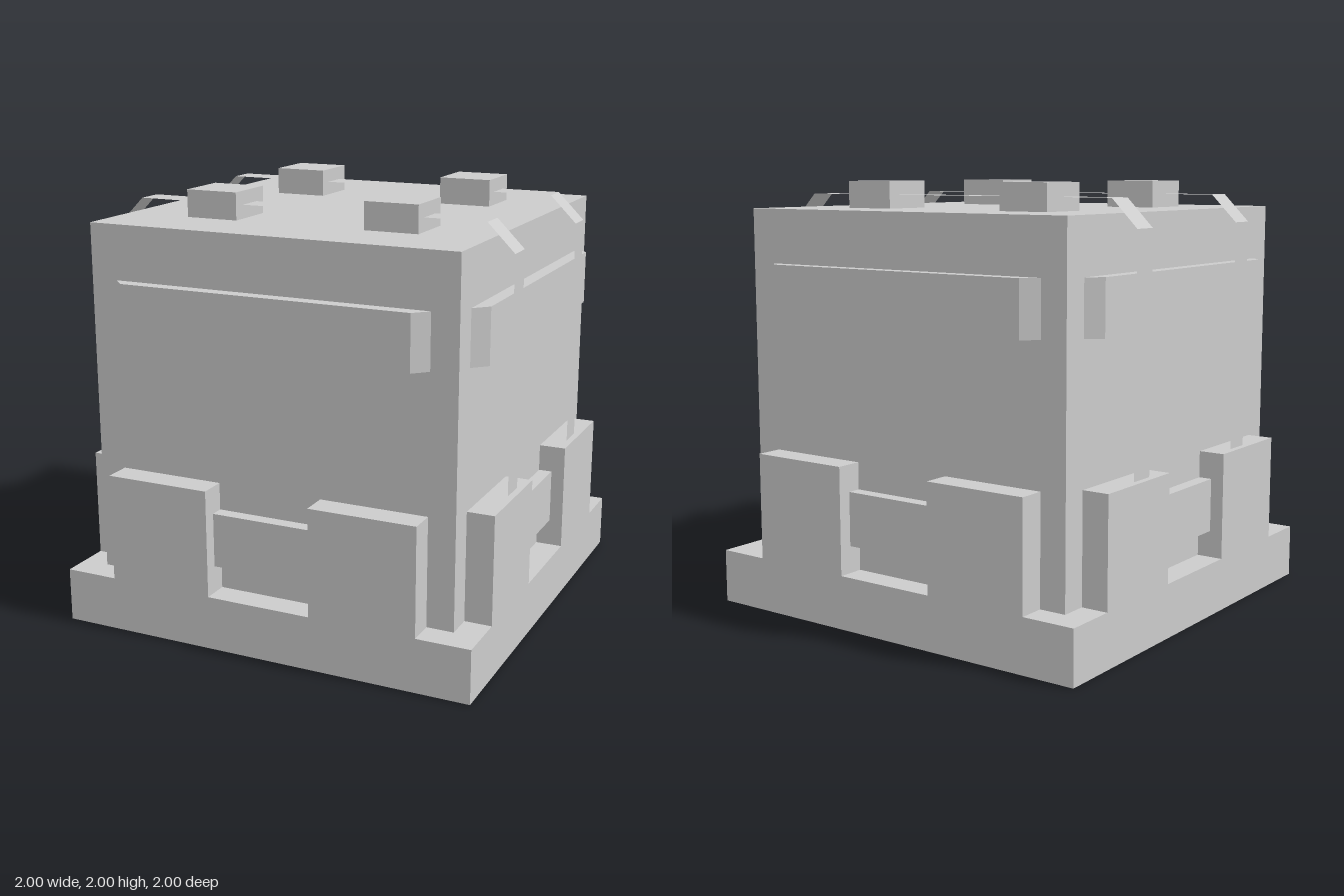
import * as THREE from 'three';

const grey = new THREE.MeshStandardMaterial({ color: 0xcccccc, flatShading: true });
const thin = new THREE.MeshStandardMaterial({ color: 0xcccccc, flatShading: true, side: THREE.DoubleSide });

function box(name, [x0, x1], [y0, y1], [z0, z1]) {
  const mesh = new THREE.Mesh(new THREE.BoxGeometry(x1 - x0, y1 - y0, z1 - z0), grey);
  mesh.position.set((x0 + x1) / 2, (y0 + y1) / 2, (z0 + z1) / 2);
  mesh.name = name;
  return mesh;
}

// Raised band with bevelled ends: a trapezoid plan extruded upward
function sideBand() {
  const plan = new THREE.Shape([[-0.75, -0.875], [-0.6875, -0.9375], [0.6875, -0.9375], [0.75, -0.875]]
    .map(([x, y]) => new THREE.Vector2(x, y)));
  const geo = new THREE.ExtrudeGeometry(plan, { depth: 0.25, bevelEnabled: false });
  geo.rotateX(-Math.PI / 2);
  const mesh = new THREE.Mesh(geo, grey);
  mesh.position.y = 1.375;
  mesh.name = 'sideBand';
  return mesh;
}

// Paper-thin strap running over the top and down both sides
function strap(z) {
  const path = [[0.97, 0.7], [0.97, 1.8125], [0.845, 1.9375], [-0.845, 1.9375], [-0.97, 1.8125], [-0.97, 0.7]];
  const geo = new THREE.PlaneGeometry(1, 1, path.length - 1, 1);
  const pos = geo.attributes.position;
  for (let i = 0; i < pos.count; i++) {
    const [x, y] = path[i % path.length];
    pos.setXYZ(i, x, y, i < path.length ? z - 0.0625 : z + 0.0625);
  }
  geo.computeVertexNormals();
  const mesh = new THREE.Mesh(geo, thin);
  mesh.name = 'strap';
  return mesh;
}

export function createModel() {
  const model = new THREE.Group();
  model.name = 'strappedCrate';
  model.add(box('base', [-1, 1], [0, 0.25], [-1, 1]));
  model.add(box('body', [-0.875, 0.875], [0.25, 1.875], [-0.875, 0.875]));

  // Four identical sides: two guard blocks, a joining bar and an upper band
  for (let i = 0; i < 4; i++) {
    const side = new THREE.Group();
    side.name = 'side';
    side.add(box('guardBlock', [-0.75, -0.25], [0.25, 0.75], [0.875, 1]));
    side.add(box('guardBlock', [0.25, 0.75], [0.25, 0.75], [0.875, 1]));
    side.add(box('joiningBar', [-0.25, 0.25], [0.375, 0.625], [0.875, 0.9375]));
    side.add(sideBand());
    side.rotation.y = i * Math.PI / 2;
    model.add(side);
  }

  // Straps with their buckles on the lid
  for (const z of [-0.4375, 0.4375]) {
    model.add(strap(z));
    for (const x of [-0.4375, 0.4375]) {
      model.add(box('buckle', [x - 0.125, x + 0.125], [1.875, 2], [z - 0.125, z + 0.125]));
    }
  }
  return model;
}
